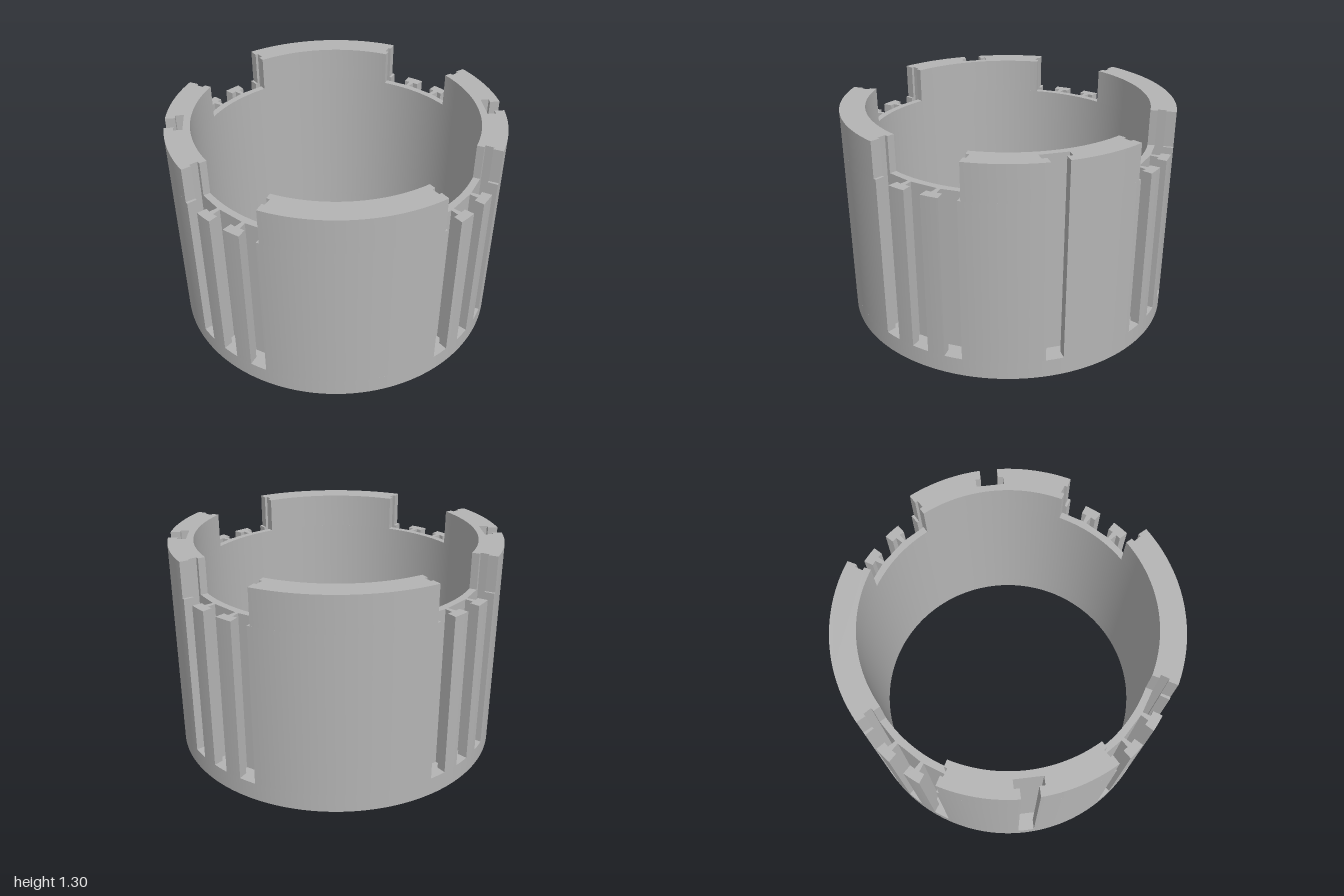
import * as THREE from 'three';
import { toCreasedNormals } from 'three/addons/utils/BufferGeometryUtils.js';

const OUTER = 1, INNER = 0.85;
const FLOOR = 0.11, NOTCH = 1.09, TOP = 1.305;
const NECK = 0.052, WIDE = 0.083;        // half widths of a T-slot
const V0 = 0.89, V1 = 0.94;              // radial range of its wide part
const NOTCH_HALF = 16, SLOT_STEP = 12;   // degrees
const rad = THREE.MathUtils.degToRad;

// Arc points between two angles in degrees, in either direction
function arc(r, a0, a1) {
  const n = Math.max(1, Math.ceil(Math.abs(a1 - a0) / 1.5));
  return Array.from({ length: n + 1 }, (_, i) => {
    const a = rad(a0 + (a1 - a0) * i / n);
    return new THREE.Vector2(r * Math.cos(a), r * Math.sin(a));
  });
}

// Points given as (radial, tangential) around a centre angle
function local(angle, pairs) {
  const c = new THREE.Vector2();
  return pairs.map(([v, u]) => new THREE.Vector2(v, u).rotateAround(c, rad(angle)));
}

// Counter-clockwise T-slot outline, open to the outside
const slot = (angle) => local(angle, [
  [V1, -NECK], [V1, -WIDE], [V0, -WIDE], [V0, WIDE], [V1, WIDE], [V1, NECK],
]);

// Outer arc from a0 to a1, interrupted by slots
function slottedArc(a0, a1, slots) {
  const half = THREE.MathUtils.radToDeg(Math.asin(NECK / OUTER));
  const pts = [];
  let from = a0;
  for (const s of slots) {
    pts.push(...arc(OUTER, from, s - half), ...slot(s));
    from = s + half;
  }
  return pts.concat(arc(OUTER, from, a1));
}

function extrude(shape, y0, y1) {
  const geo = new THREE.ExtrudeGeometry(shape, { depth: y1 - y0, bevelEnabled: false });
  geo.rotateX(-Math.PI / 2).translate(0, y0, 0);
  return toCreasedNormals(geo, 0.4);
}

function ring(outline) {
  const shape = new THREE.Shape(outline);
  shape.holes.push(new THREE.Path(arc(INNER, 360, 0).slice(0, -1)));
  return shape;
}

export function createModel() {
  const group = new THREE.Group();
  const grey = new THREE.MeshStandardMaterial({ color: 0xb4b4b4 });
  grey.name = 'grey';
  const add = (name, geo) => {
    const mesh = new THREE.Mesh(geo, grey);
    mesh.name = name;
    group.add(mesh);
  };

  // Plain base ring closing the slots from below
  add('baseRing', extrude(ring(arc(OUTER, 0, 360).slice(0, -1)), 0, FLOOR));

  // Slotted wall: three slots under each notch and one at either side
  const slots = [0, 180];
  for (const d of [45, 135, 225, 315]) slots.push(d - SLOT_STEP, d, d + SLOT_STEP);
  slots.sort((a, b) => a - b);
  add('slottedWall', extrude(ring(slottedArc(-10, 350, slots).slice(0, -1)), FLOOR, NOTCH));

  // Upper wall between the notches, with the end slots cutting grooves in its ends
  const half = 45 - NOTCH_HALF;
  const t = Math.tan(rad(NOTCH_HALF - SLOT_STEP));
  const groove = [[V1, V1 * t], [V1, WIDE], [V0, WIDE], [V0, V0 * t]];
  for (const mid of [0, 90, 180, 270]) {
    const a0 = mid - half, a1 = mid + half;
    const outline = [
      ...slottedArc(a0, a1, mid % 180 === 0 ? [mid] : []),
      ...local(mid + 45 - SLOT_STEP, groove.map(([v, u]) => [v, -u])),
      ...arc(INNER, a1, a0),
      ...local(mid - 45 + SLOT_STEP, groove.slice().reverse()),
    ];
    add('upperWall' + mid, extrude(new THREE.Shape(outline), NOTCH, TOP));
  }
  return group;
}
